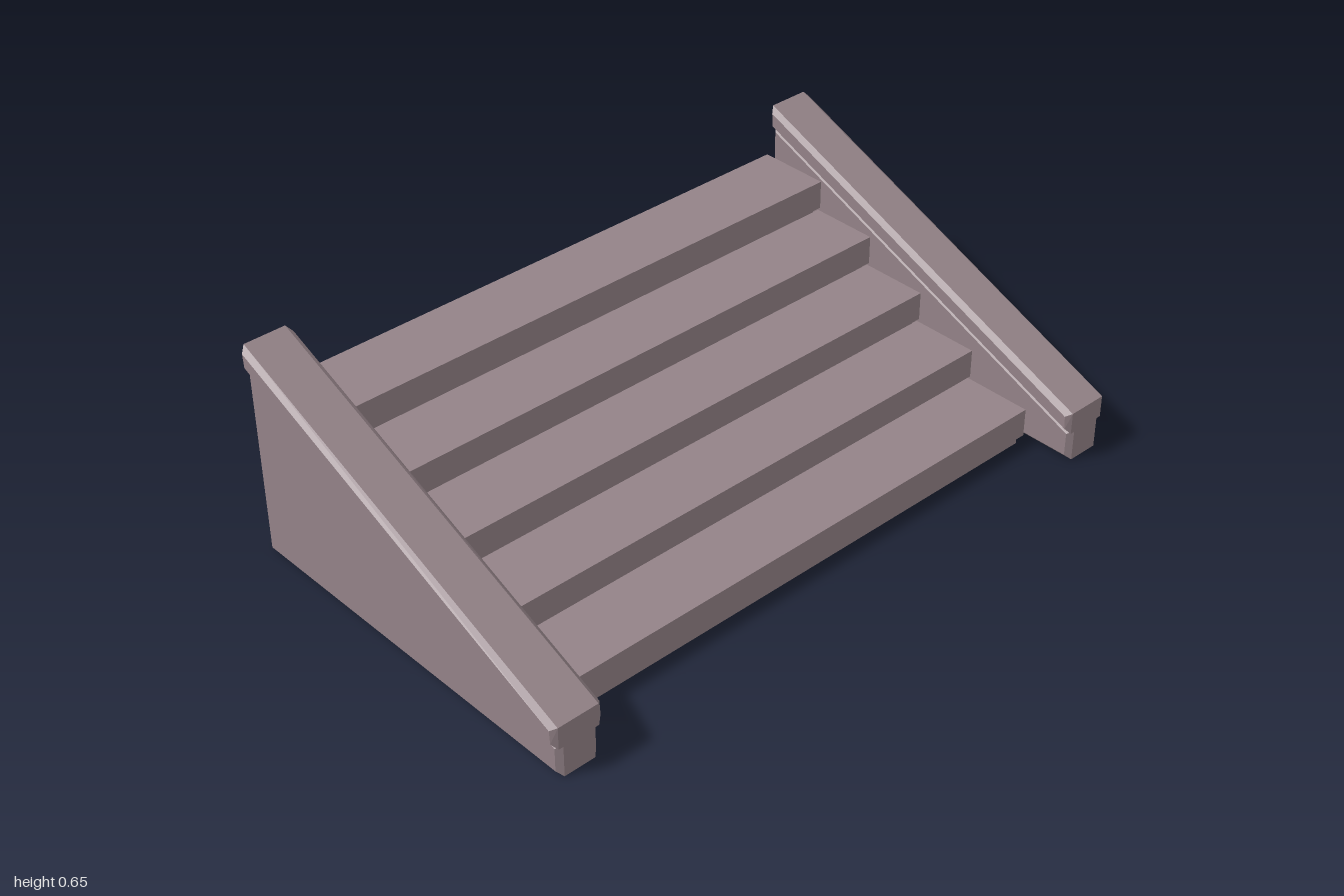
import * as THREE from 'three';

// Upright profile in x/y, extruded along z and centred, with chamfers kept inside the outline
function extrudeProfile(points, width, bevel) {
  const shape = new THREE.Shape(points.map(([x, y]) => new THREE.Vector2(x, y)));
  const geometry = new THREE.ExtrudeGeometry(shape, {
    depth: width - 2 * bevel,
    bevelEnabled: bevel > 0,
    bevelThickness: bevel,
    bevelSize: bevel,
    bevelOffset: -bevel,
    bevelSegments: 1,
  });
  geometry.translate(0, 0, -width / 2 + bevel);
  return geometry;
}

export function createModel() {
  const stone = new THREE.MeshStandardMaterial({ color: 0x948388 });
  stone.name = 'mauve stone';

  const model = new THREE.Group();
  model.name = 'staircase';
  const add = (parent, geometry, name) => {
    const mesh = new THREE.Mesh(geometry, stone);
    mesh.name = name;
    parent.add(mesh);
    return mesh;
  };

  // Treads, from the top step down
  const edges = [-0.592, -0.37, -0.168, 0.035, 0.238, 0.445];
  const tops = [0.495, 0.398, 0.302, 0.205, 0.109];
  const thick = 0.087;
  const steps = new THREE.Group();
  steps.name = 'steps';
  model.add(steps);
  tops.forEach((top, i) => {
    const back = edges[i] - (i > 0 ? 0.008 : 0);
    const depth = edges[i + 1] - back;
    const tread = add(steps, new THREE.BoxGeometry(depth, thick, 1.68), 'tread' + (i + 1));
    tread.position.set(back + depth / 2, top - thick / 2, 0);
  });

  // Stepped core, set slightly in from the treads
  const core = [[-0.59, 0], [edges[5] - 0.008, 0]];
  for (let i = 4; i >= 0; i--) {
    const y = tops[i] - 0.01;
    core.push([edges[i + 1] - 0.008, y], [i > 0 ? edges[i] - 0.008 : -0.59, y]);
  }
  add(steps, extrudeProfile(core, 1.64, 0), 'stepCore');

  // Side walls with sloping caps
  const panel = extrudeProfile([[-0.592, 0], [0.592, 0], [0.592, 0.096], [-0.592, 0.584]], 0.126, 0.015);
  const cap = extrudeProfile([[-0.592, 0.582], [0.592, 0.094], [0.592, 0.161], [-0.592, 0.65]], 0.155, 0.015);
  for (const [side, name] of [[1, 'front'], [-1, 'back']]) {
    const wall = new THREE.Group();
    wall.name = name + 'Wall';
    wall.position.z = side * 0.9225;
    add(wall, panel, name + 'WallPanel');
    add(wall, cap, name + 'WallCap');
    model.add(wall);
  }

  return model;
}
